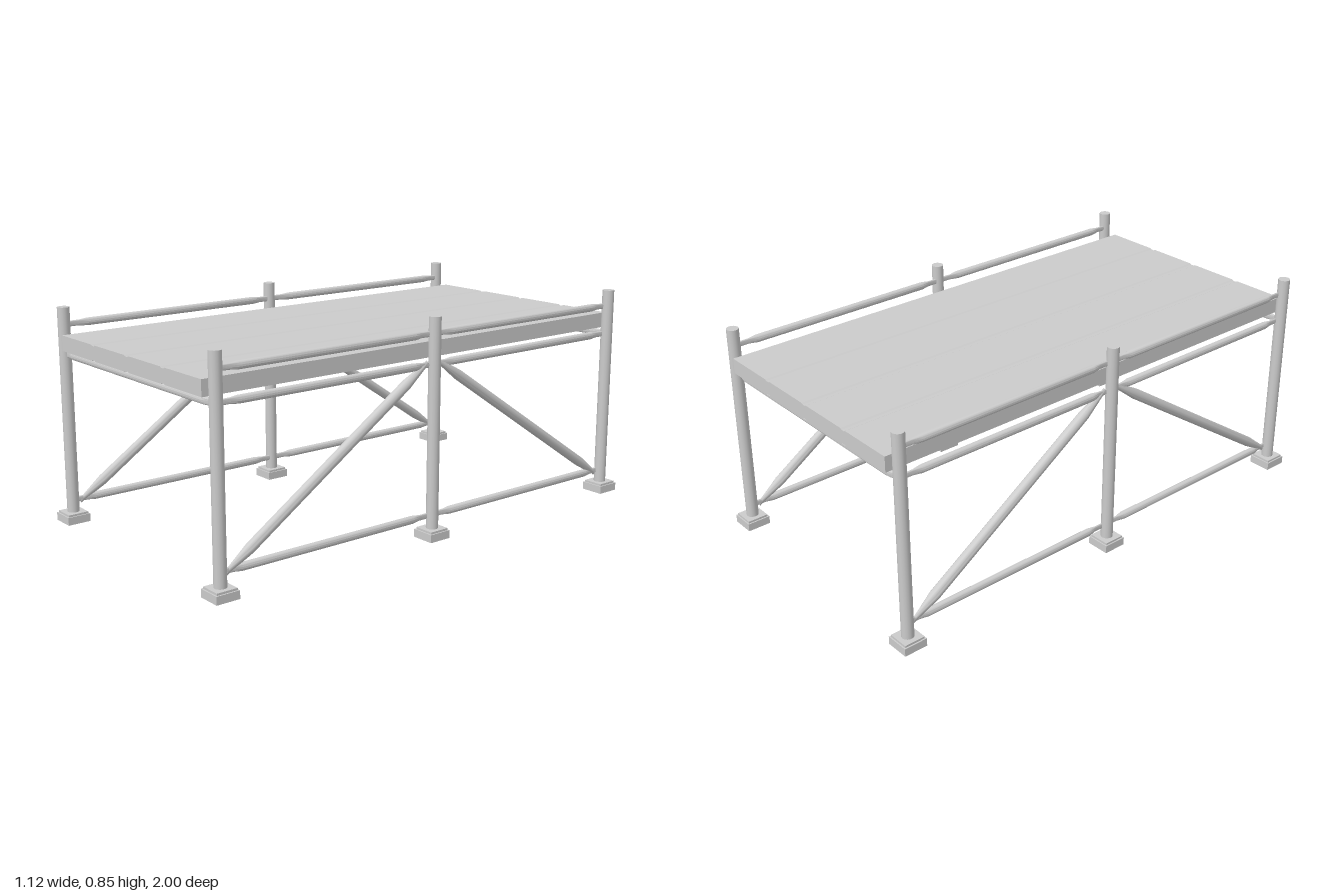
import * as THREE from 'three';
import { toCreasedNormals } from 'three/addons/utils/BufferGeometryUtils.js';

const material = new THREE.MeshStandardMaterial({ color: 0xcccccc });
const V = (x, y, z) => new THREE.Vector3(x, y, z);

function part(parent, name, geometry, x = 0, y = 0, z = 0) {
  const mesh = new THREE.Mesh(geometry, material);
  mesh.name = name;
  mesh.position.set(x, y, z);
  parent.add(mesh);
  return mesh;
}

// Round tube from a to b whose ends are pressed flat along the axis `flat`
function pressedTube(parent, name, a, b, radius, flat, tab, taper, thin, wide) {
  const dir = b.clone().sub(a);
  const length = dir.length();
  dir.normalize();
  const geo = new THREE.CylinderGeometry(radius, radius, 5, 14, 5);
  const pos = geo.attributes.position;
  for (let i = 0; i < pos.count; i++) {
    const y = pos.getY(i);
    const fromEnd = Math.round(2.5 - Math.abs(y)); // 0 = tip, 1 = end of tab, 2 = full round
    const inset = [0, tab, tab + taper][fromEnd];
    pos.setY(i, Math.sign(y) * (length / 2 - inset));
    if (fromEnd < 2) {
      pos.setX(i, pos.getX(i) * thin);
      pos.setZ(i, pos.getZ(i) * wide);
    }
  }
  geo.applyMatrix4(new THREE.Matrix4().makeBasis(flat, dir, flat.clone().cross(dir)));
  const mid = a.clone().add(b).multiplyScalar(0.5);
  part(parent, name, toCreasedNormals(geo, 0.7), mid.x, mid.y, mid.z);
}

// Deck cross-section: four planks with shallow V grooves above and below
function deckGeometry() {
  const w = 0.475, lo = 0.685, hi = 0.745, depth = 0.004, half = 0.014;
  const seams = [-0.2375, 0, 0.2375];
  const shape = new THREE.Shape();
  shape.moveTo(-w, lo);
  for (const s of seams) {
    shape.lineTo(s - half, lo);
    shape.lineTo(s - half / 2, lo + depth);
    shape.lineTo(s + half / 2, lo + depth);
    shape.lineTo(s + half, lo);
  }
  shape.lineTo(w, lo);
  shape.lineTo(w, hi);
  for (const s of [...seams].reverse()) {
    shape.lineTo(s + half, hi);
    shape.lineTo(s + half / 2, hi - depth);
    shape.lineTo(s - half / 2, hi - depth);
    shape.lineTo(s - half, hi);
  }
  shape.lineTo(-w, hi);
  const geo = new THREE.ExtrudeGeometry(shape, { depth: 1.966, bevelEnabled: false });
  return geo.translate(0, 0, -0.983);
}

export function createModel() {
  const model = new THREE.Group();
  model.name = 'scaffoldPlatform';
  const postX = 0.513, postZ = 0.953;
  const xAxis = V(1, 0, 0), zAxis = V(0, 0, 1);

  part(model, 'plankDeck', deckGeometry());

  for (const side of [-1, 1]) {
    const frame = new THREE.Group();
    frame.name = side > 0 ? 'leftFrame' : 'rightFrame';
    model.add(frame);

    // Posts on stepped foot plates
    for (const z of [-postZ, 0, postZ]) {
      part(frame, 'post', new THREE.CylinderGeometry(0.0235, 0.0235, 0.81, 14), side * postX, 0.44, z);
      part(frame, 'foot', new THREE.BoxGeometry(0.094, 0.031, 0.094), side * postX, 0.0155, z);
      part(frame, 'footPlate', new THREE.BoxGeometry(0.083, 0.008, 0.083), side * postX, 0.035, z);
    }

    // Rails and diagonal brace in each bay
    for (const end of [-1, 1]) {
      const x = side * 0.504;
      for (const [name, y] of [['bottomRail', 0.087], ['deckRail', 0.666], ['guardRail', 0.78]]) {
        pressedTube(frame, name, V(x, y, end * 0.012), V(x, y, end * 0.941), 0.015, xAxis, 0.045, 0.035, 0.35, 0.75);
      }
      pressedTube(frame, 'diagonalBrace', V(x, 0.077, end * 0.926), V(x, 0.675, end * 0.027), 0.02, xAxis, 0.012, 0.11, 0.25, 0.5);
    }
  }

  // Cross beams under both ends of the deck
  for (const z of [-postZ, postZ]) {
    pressedTube(model, 'crossBeam', V(-0.5, 0.666, z), V(0.5, 0.666, z), 0.0145, zAxis, 0.025, 0.03, 0.4, 0.9);
  }
  return model;
}
